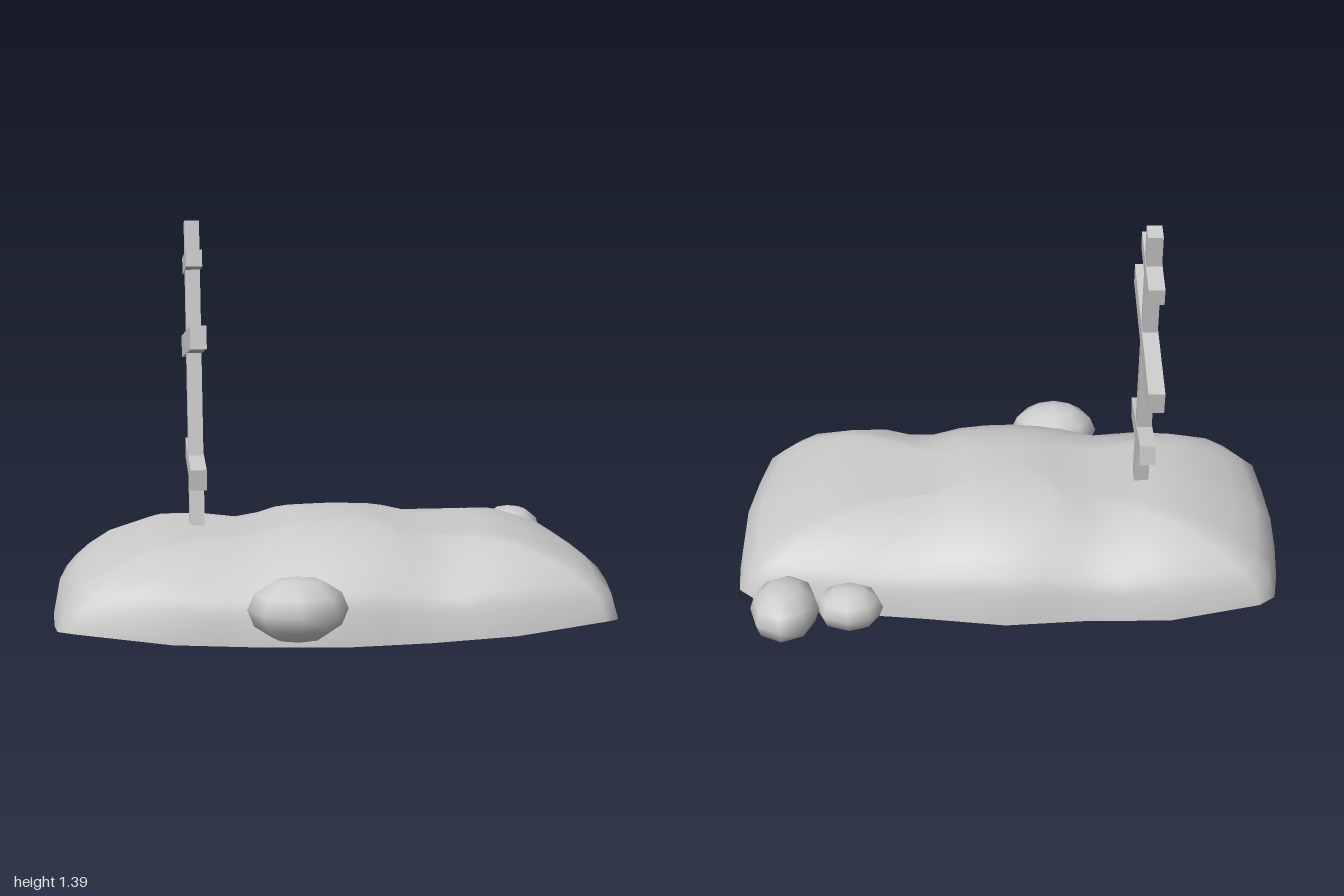
import * as THREE from 'three';

const material = new THREE.MeshStandardMaterial({ color: 0xcccccc, side: THREE.DoubleSide });

// Hollow earth mound: a rounded rectangular rim drawn in to the crown, ring by ring
function makeMound() {
  // rim corners: x, z, y
  const rim = [
    [1, 0.02, 0], [0.985, 0.22, 0.01], [0.96, 0.41, 0.04], [0.9, 0.49, 0.055], [0.58, 0.555, 0.03],
    [0.29, 0.55, 0.012], [0, 0.57, 0.01], [-0.29, 0.55, 0.012], [-0.58, 0.56, 0.03], [-0.9, 0.49, 0.055],
    [-0.965, 0.4, 0.04], [-0.985, 0.22, 0.01], [-1, 0.02, 0], [-0.985, -0.18, 0.01], [-0.96, -0.35, 0.04],
    [-0.9, -0.42, 0.055], [-0.58, -0.485, 0.03], [-0.29, -0.47, 0.012], [0, -0.5, 0.01], [0.29, -0.47, 0.012],
    [0.58, -0.47, 0.03], [0.9, -0.42, 0.055], [0.96, -0.35, 0.04], [0.985, -0.18, 0.01],
  ];
  // halve each rim edge so the crown keeps its dips
  const outline = rim.flatMap((p, i) => {
    const q = rim[(i + 1) % rim.length];
    return [p, p.map((v, k) => (v + q[k]) / 2)];
  });
  // fraction of the way out from the centre, height
  const rings = [[1, 0], [0.975, 0.13], [0.92, 0.18], [0.84, 0.235], [0.68, 0.298],
    [0.52, 0.332], [0.34, 0.354], [0.17, 0.36], [0, 0.361]];
  const n = outline.length, centreZ = 0.035;
  const positions = [], index = [];
  rings.forEach(([f, h], r) => outline.forEach(([x, z, y]) => {
    const px = x * f;
    const dip = 0.05 * Math.exp(-(((Math.abs(px) - 0.35) / 0.12) ** 2)) * Math.min(1, h / 0.3);
    positions.push(px, r === 0 ? y : h - dip, centreZ + (z - centreZ) * f);
  }));
  for (let r = 0; r < rings.length - 1; r++) {
    for (let i = 0; i < n; i++) {
      const a = r * n + i, b = r * n + (i + 1) % n;
      index.push(a, a + n, b);
      if (r < rings.length - 2) index.push(b, a + n, b + n);
    }
  }
  // the last ring is one point: share it so the crown shades smoothly
  const crown = (rings.length - 1) * n;
  const geometry = new THREE.BufferGeometry();
  geometry.setAttribute('position', new THREE.Float32BufferAttribute(positions, 3));
  geometry.setIndex(index.map((i) => Math.min(i, crown)));
  geometry.computeVertexNormals();
  const mound = new THREE.Mesh(geometry, material);
  mound.name = 'mound';
  return mound;
}

// Leaning wooden cross with three bars, the lowest one slanted
function makeCross() {
  const cross = new THREE.Group();
  cross.name = 'cross';
  const lean = -0.164;
  const beam = (name, y, z, height, length, thickness, tilt) => {
    const mesh = new THREE.Mesh(new THREE.BoxGeometry(thickness, height, length), material);
    mesh.name = name;
    mesh.position.set(0, y, z);
    mesh.rotation.x = tilt;
    cross.add(mesh);
  };
  beam('post', 0.78, -0.064, 1.23, 0.073, 0.052, lean);
  beam('topBar', 1.243, -0.141, 0.06, 0.34, 0.056, lean);
  beam('middleBar', 0.96, -0.096, 0.08, 0.74, 0.056, lean);
  beam('lowerBar', 0.533, -0.024, 0.073, 0.42, 0.056, 0.105);
  cross.position.x = -0.485;
  cross.rotation.y = 0.03;
  return cross;
}

// Low, smooth-shaded boulder, slightly flattened underneath
function makeRock(name, [x, y, z], [rx, ry, rz], turn) {
  const geometry = new THREE.SphereGeometry(1, 8, 6);
  const p = geometry.attributes.position;
  for (let i = 0; i < p.count; i++) p.setY(i, Math.max(p.getY(i), -0.87));
  geometry.scale(rx, ry, rz);
  geometry.computeVertexNormals();
  // rebuild seam-free normals from the ellipsoid
  const normal = geometry.attributes.normal, v = new THREE.Vector3();
  for (let i = 0; i < p.count; i++) {
    v.set(p.getX(i) / rx ** 2, p.getY(i) / ry ** 2, p.getZ(i) / rz ** 2).normalize();
    normal.setXYZ(i, v.x, v.y, v.z);
  }
  const rock = new THREE.Mesh(geometry, material);
  rock.name = name;
  rock.position.set(x, y, z);
  rock.rotation.y = turn;
  return rock;
}

export function createModel() {
  const model = new THREE.Group();
  model.name = 'graveMound';
  model.add(
    makeMound(),
    makeCross(),
    makeRock('frontRock', [-0.165, 0.155, 0.605], [0.168, 0.11, 0.127], 0),
    makeRock('backRockLarge', [0.762, 0.137, -0.59], [0.12, 0.098, 0.146], 0),
    makeRock('backRockSmall', [0.543, 0.115, -0.543], [0.118, 0.08, 0.096], 0),
  );
  return model;
}
